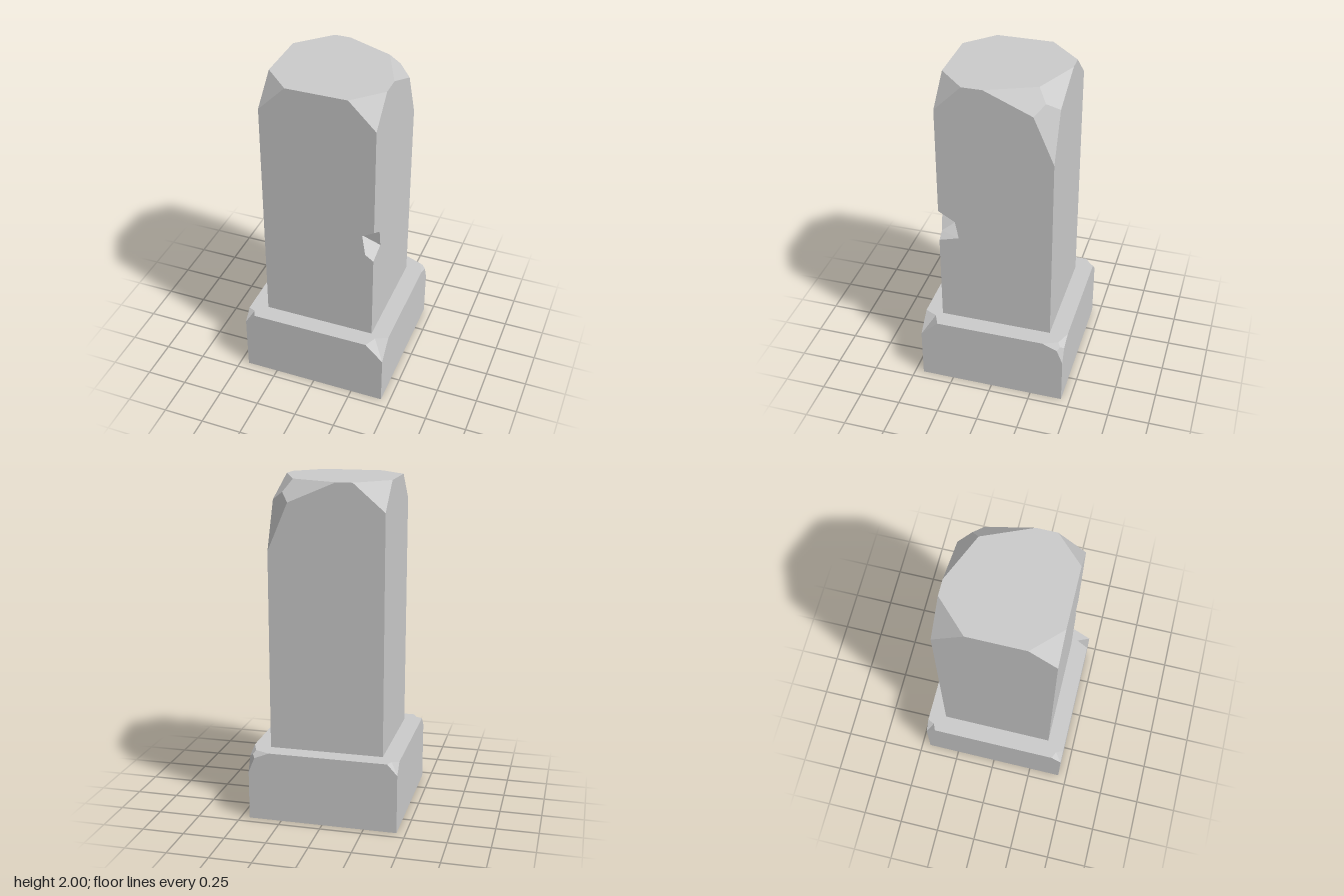
import * as THREE from 'three';

const V = (x, y, z) => new THREE.Vector3(x, y, z);
const material = new THREE.MeshStandardMaterial({ color: 0xcccccc, flatShading: true });

// Adds a flat polygon to the position list, facing the way of the hint.
function addFace(out, points, hint) {
  const n = V(0, 0, 0);
  points.forEach((p, i) => n.add(p.clone().cross(points[(i + 1) % points.length])));
  n.normalize();
  if (n.dot(hint) < 0) n.negate();
  const u = (Math.abs(n.y) > 0.9 ? V(1, 0, 0) : V(0, 1, 0)).cross(n).normalize();
  const v = n.clone().cross(u);
  const flat = points.map(p => new THREE.Vector2(p.dot(u), p.dot(v)));
  for (const [i, j, k] of THREE.ShapeUtils.triangulateShape(flat, [])) {
    const [a, b, c] = [points[i], points[j], points[k]];
    const facing = b.clone().sub(a).cross(c.clone().sub(a)).dot(n);
    for (const p of facing > 0 ? [a, b, c] : [a, c, b]) out.push(p.x, p.y, p.z);
  }
}

// Facets of a cut look towards the point that was cut away.
function addFacet(out, points, removed) {
  const centre = V(0, 0, 0);
  points.forEach(p => centre.addScaledVector(p, 1 / points.length));
  addFace(out, points, removed.clone().sub(centre));
}

// One broken top corner. run: length along the top edges, drop: length down the edge,
// dent: inward point of the top outline, chip: three-facet break.
function cutCorner(out, half, top, sx, sz, { run, drop, dent, chip }) {
  const at = (u, v, w) => V(sx * (half - u), top - v, sz * (half - w));
  const onX = at(0, 0, run), onZ = at(run, 0, 0), low = at(0, drop, 0), tip = at(0, 0, 0);
  const cut = { top: [onX, onZ], x: [low, onX], z: [low, onZ] };
  if (chip) {
    const p = chip * run / (3 * run - 2 * chip) * (2 - chip / run) || 0;
    // inner point lies where the three facet planes meet
    const c = chip / (run - chip), inner = c * run / (2 + c);
    const q = at(inner, inner, inner);
    const mTop = at(chip, 0, chip), mX = at(0, chip, chip), mZ = at(chip, chip, 0);
    cut.top = [onX, mTop, onZ];
    cut.x = [low, mX, onX];
    cut.z = [low, mZ, onZ];
    addFacet(out, [onX, mTop, q, mX], tip);
    addFacet(out, [onZ, mTop, q, mZ], tip);
    addFacet(out, [low, mX, q, mZ], tip);
  } else if (dent) {
    const m = at(dent, 0, dent);
    cut.top = [onX, m, onZ];
    addFacet(out, [onX, m, low], tip);
    addFacet(out, [onZ, m, low], tip);
  } else {
    addFacet(out, [onX, onZ, low], tip);
  }
  return cut;
}

// Square block with four broken top corners and an optional notch in the front left edge.
function brokenBlock(name, half, bottom, top, corners, notch) {
  const out = [];
  const signs = [[1, 1], [-1, 1], [-1, -1], [1, -1]];
  const cuts = signs.map(([sx, sz], i) => cutCorner(out, half, top, sx, sz, corners[i]));
  const feet = signs.map(([sx, sz]) => V(sx * half, bottom, sz * half));

  if (notch) {
    const { low, high, front, side, inner } = notch;
    const middle = low.clone().lerp(high, 0.5);
    cuts[0].x.unshift(low, side[0], side[1], high);
    cuts[0].z.unshift(low, front[0], front[1], high);
    addFacet(out, [high, front[1], inner, side[1]], middle);
    addFacet(out, [low, front[0], inner, side[0]], middle);
    addFacet(out, [front[0], front[1], inner], middle);
    addFacet(out, [side[0], side[1], inner], middle);
  }

  // Top and underside
  const rim = cuts.flatMap((c, i) => (i % 2 ? [...c.top].reverse() : c.top));
  addFace(out, rim, V(0, 1, 0));
  addFace(out, feet, V(0, -1, 0));

  // Four walls, each between two neighbouring corners
  const walls = [[0, 1, 'z', V(0, 0, 1)], [1, 2, 'x', V(-1, 0, 0)],
    [2, 3, 'z', V(0, 0, -1)], [3, 0, 'x', V(1, 0, 0)]];
  for (const [a, b, side, normal] of walls) {
    addFace(out, [feet[a], ...cuts[a][side], ...[...cuts[b][side]].reverse(), feet[b]], normal);
  }

  const geometry = new THREE.BufferGeometry();
  geometry.setAttribute('position', new THREE.Float32BufferAttribute(out, 3));
  geometry.computeVertexNormals();
  const mesh = new THREE.Mesh(geometry, material);
  mesh.name = name;
  return mesh;
}

export function createModel() {
  const group = new THREE.Group();
  group.name = 'stonePost';

  // Corner order: front left, front right, back right, back left
  group.add(brokenBlock('base', 0.447, 0, 0.42, [
    { run: 0.107, drop: 0.105, dent: 0.073 },
    { run: 0.061, drop: 0.065, dent: 0.043 },
    { run: 0.06, drop: 0.065, dent: 0.042 },
    { run: 0.127, drop: 0.127, chip: 0.037 },
  ]));

  const h = 0.34;
  group.add(brokenBlock('shaft', h, 0.42, 2, [
    { run: 0.16, drop: 0.16 },
    { run: 0.16, drop: 0.16 },
    { run: 0.185, drop: 0.16 },
    { run: 0.4, drop: 0.4, chip: 0.12 },
  ], {
    low: V(h, 0.975, h),
    high: V(h, 1.18, h),
    front: [V(0.29, 1.01, h), V(0.27, 1.14, h)],
    side: [V(h, 1.01, 0.22), V(h, 1.12, 0.24)],
    inner: V(0.235, 1.07, 0.245),
  }));

  return group;
}
